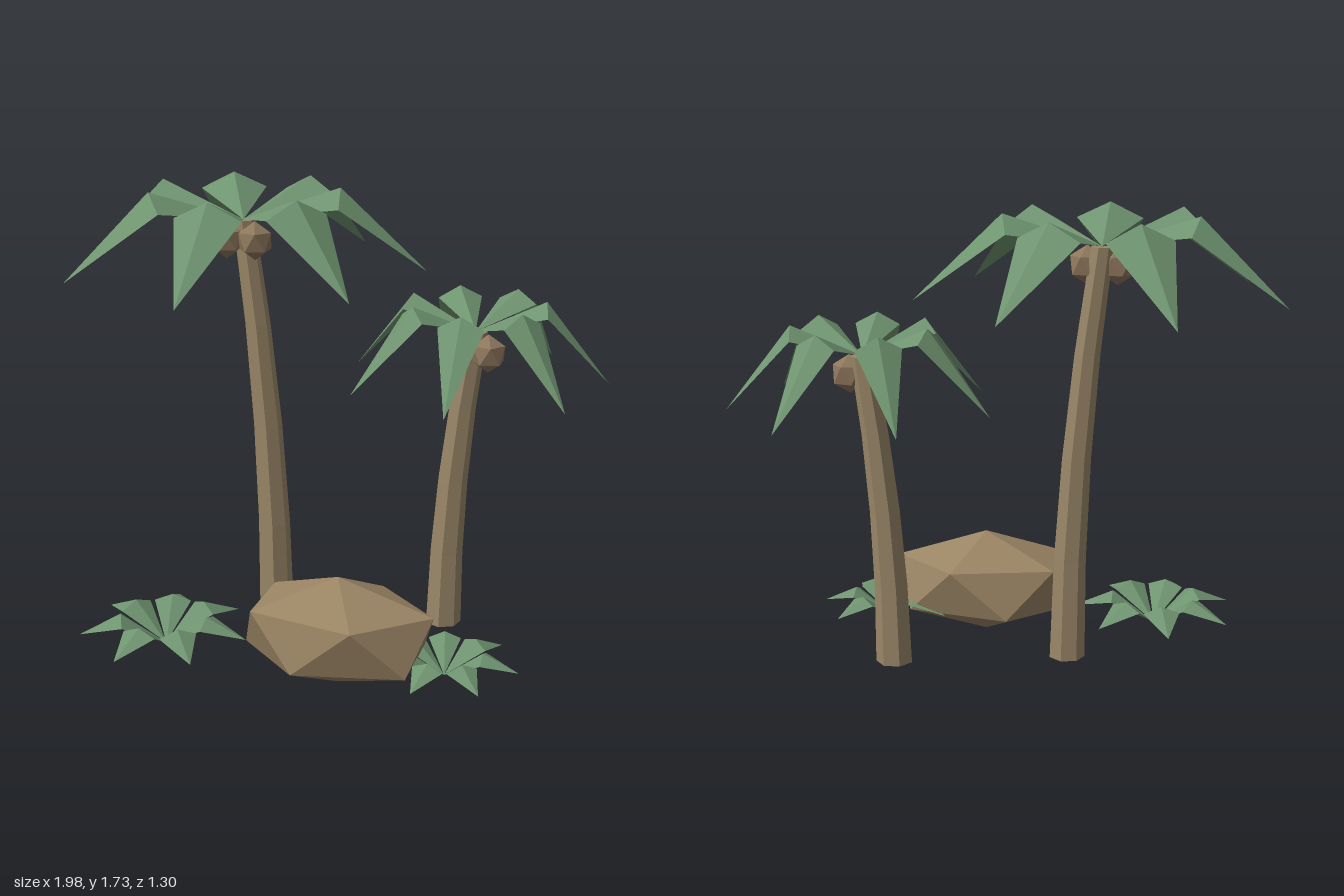
import * as THREE from 'three';
import { ConvexGeometry } from 'three/addons/geometries/ConvexGeometry.js';

const mat = (name, color) => {
  const m = new THREE.MeshStandardMaterial({ color });
  m.name = name;
  return m;
};

// Faceted copy of a geometry
function facet(geo) {
  const g = geo.index ? geo.toNonIndexed() : geo;
  g.computeVertexNormals();
  return g;
}

// Icosahedron standing on a vertex, stretched to three radii
function icoBlock(rx, ry, rz) {
  const pts = [new THREE.Vector3(0, ry, 0), new THREE.Vector3(0, -ry, 0)];
  const h = 1 / Math.sqrt(5), r = 2 * h;
  for (let i = 0; i < 10; i++) {
    const a = (i * Math.PI) / 5, s = i % 2 ? -1 : 1;
    pts.push(new THREE.Vector3(Math.cos(a) * r * rx, s * h * ry, Math.sin(a) * r * rz));
  }
  return facet(new ConvexGeometry(pts));
}

// Folded leaf along +z: root, ridge, two shoulders and a drooping tip
function leafGeometry({ length, mid, width, ridge, side, tip }) {
  const root = [0, 0, 0], top = [0, ridge, mid], end = [0, tip, length];
  const left = [width, side, mid], right = [-width, side, mid];
  const tris = [root, top, left, root, right, top, top, end, left, top, right, end];
  const g = new THREE.BufferGeometry();
  g.setAttribute('position', new THREE.Float32BufferAttribute(tris.flat(), 3));
  g.computeVertexNormals();
  return g;
}

// Ring of seven leaves
function leafRing(name, material, position, startAngle, shape) {
  const ring = new THREE.Group();
  ring.name = name;
  ring.position.set(...position);
  const geo = leafGeometry(shape);
  for (let i = 0; i < 7; i++) {
    const leaf = new THREE.Mesh(geo, material);
    leaf.name = 'leaf';
    leaf.rotation.y = startAngle + (i * 2 * Math.PI) / 7;
    ring.add(leaf);
  }
  return ring;
}

// Tapered trunk whose lean grows with the square of the height
function trunkGeometry(bottomR, topR, height, lean, turn) {
  const g = new THREE.CylinderGeometry(topR, bottomR, height, 7, 4);
  g.rotateY(turn).translate(0, height / 2, 0);
  const p = g.attributes.position;
  for (let i = 0; i < p.count; i++) {
    const t = p.getY(i) / height;
    p.setX(i, p.getX(i) + lean * t * t);
  }
  return facet(g);
}

export function createModel() {
  const model = new THREE.Group();
  model.name = 'palmIsland';
  const leafMat = mat('leaf green', 0x6f9470);
  leafMat.side = THREE.DoubleSide;
  const trunkMat = mat('trunk brown', 0x9a8768);
  const rockMat = mat('rock tan', 0x9a8464);
  const nutMat = mat('coconut brown', 0x8d765c);

  const add = (name, geo, material, x, y, z, parent = model) => {
    const m = new THREE.Mesh(geo, material);
    m.name = name;
    m.position.set(x, y, z);
    parent.add(m);
  };

  // Palms: trunk, crown of fronds and a pair of coconuts
  const palms = [
    {
      name: 'tallPalm', x: -0.235, z: -0.042, top: 1.61, lean: -0.112, r: [0.068, 0.042], turn: -Math.PI / 2,
      nutY: 1.54, nutZ: -0.01,
      frond: { length: 0.675, mid: 0.355, width: 0.125, ridge: 0.12, side: 0.06, tip: -0.185 },
    },
    {
      name: 'shortPalm', x: 0.4, z: -0.177, top: 1.22, lean: 0.097, r: [0.07, 0.045], turn: 0,
      nutY: 1.148, nutZ: -0.15,
      frond: { length: 0.493, mid: 0.255, width: 0.084, ridge: 0.115, side: 0.07, tip: -0.19 },
    },
  ];
  const nutGeo = icoBlock(0.069, 0.072, 0.069);
  for (const p of palms) {
    const palm = new THREE.Group();
    palm.name = p.name;
    const ground = 0.055, cx = p.x + p.lean;
    add('trunk', trunkGeometry(p.r[0], p.r[1], p.top - ground, p.lean, p.turn), trunkMat, p.x, ground, p.z, palm);
    palm.add(leafRing('crown', leafMat, [cx, p.top, p.z], 0, p.frond));
    for (const s of [-1, 1]) add('coconut', nutGeo, nutMat, cx + s * 0.055, p.nutY, p.nutZ, palm);
    model.add(palm);
  }

  // Boulder
  add('rock', icoBlock(0.396, 0.207, 0.26), rockMat, 0.13, 0.207, 0.335);

  // Low bushes either side of the boulder
  model.add(leafRing('rightBush', leafMat, [-0.545, 0.06, 0.335], Math.PI / 2,
    { length: 0.32, mid: 0.165, width: 0.07, ridge: 0.125, side: 0.098, tip: 0.055 }));
  model.add(leafRing('leftBush', leafMat, [0.515, 0.06, 0.285], Math.PI / 2,
    { length: 0.27, mid: 0.14, width: 0.059, ridge: 0.105, side: 0.08, tip: 0.045 }));

  return model;
}
